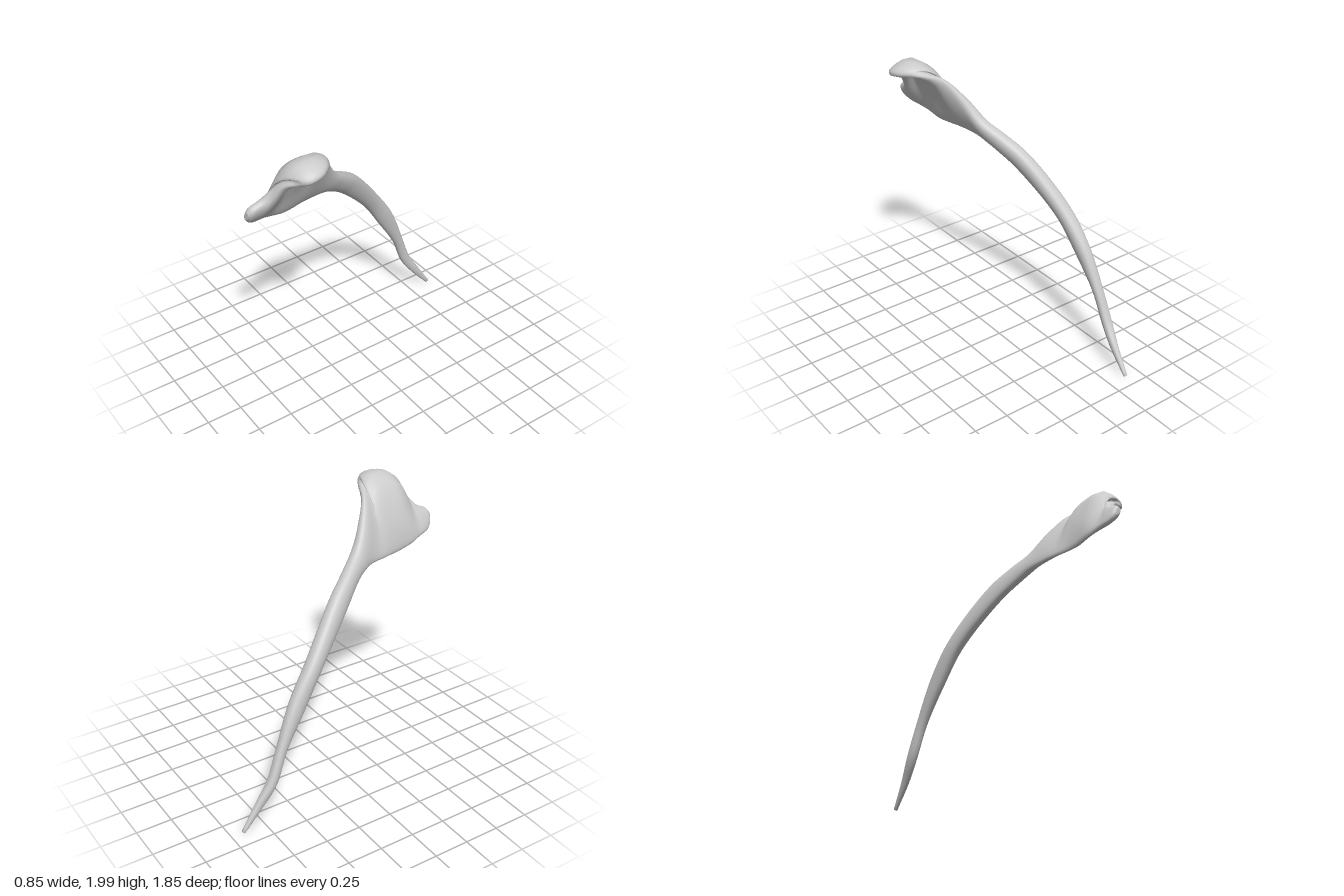
import * as THREE from 'three';

// Shaft stations from the tip upward: centre x, y, z, half width, half thickness
const SHAFT = [
  [-0.385, 0.012, -0.915, 0.013, 0.013],
  [-0.385, 0.18, -0.79, 0.03, 0.026],
  [-0.392, 0.325, -0.695, 0.036, 0.036],
  [-0.376, 0.545, -0.605, 0.037, 0.038],
  [-0.345, 0.81, -0.465, 0.062, 0.05],
  [-0.302, 1.045, -0.305, 0.062, 0.056],
  [-0.17, 1.35, -0.03, 0.075, 0.056],
  [-0.09, 1.463, 0.11, 0.07, 0.053],
];
// Blade sections: half thickness, then spine points from lower edge to upper edge
const BLADE = [
  [0.05, [-0.06, 1.455, 0.23], [-0.005, 1.61, 0.19]],
  [0.044, [-0.025, 1.48, 0.32], [0.075, 1.765, 0.3]],
  [0.038, [0, 1.485, 0.45], [0.18, 1.89, 0.39]],
  // three sections curl over into the hook
  [0.046, [0.025, 1.485, 0.55], [0.105, 1.72, 0.5], [0.22, 1.905, 0.475], [0.35, 1.935, 0.465]],
  [0.052, [0.04, 1.49, 0.63], [0.115, 1.72, 0.59], [0.26, 1.94, 0.56], [0.42, 1.92, 0.555]],
  [0.05, [0.05, 1.51, 0.72], [0.12, 1.7, 0.68], [0.24, 1.91, 0.66], [0.415, 1.9, 0.655]],
  // rounded front corner
  [0.044, [0.07, 1.535, 0.8], [0.255, 1.85, 0.735]],
  [0.04, [0.09, 1.55, 0.87], [0.185, 1.73, 0.82]],
  [0.034, [0.11, 1.575, 0.905], [0.17, 1.69, 0.9]],
  [0.018, [0.13, 1.605, 0.925], [0.158, 1.66, 0.925]],
];
const ROWS = 110;
const SIDES = 32;

// A straight section is split evenly so that every spine has four points
function fourPoints(points) {
  if (points.length === 4) return points;
  return [0, 1, 2, 3].map((k) => points[0].clone().lerp(points[1], k / 3));
}

function createSections() {
  const centre = new THREE.CatmullRomCurve3(SHAFT.map(([x, y, z]) => new THREE.Vector3(x, y, z)));
  const shaft = SHAFT.map(([x, y, z, width, thickness], i) => {
    // the shaft's width lies across its direction in the side plane
    const d = centre.getTangent(i / (SHAFT.length - 1));
    const across = new THREE.Vector3(0, d.z, -d.y).setLength(width);
    const p = new THREE.Vector3(x, y, z);
    return { thickness, points: fourPoints([p.clone().sub(across), p.clone().add(across)]) };
  });
  const blade = BLADE.map(([thickness, ...points]) => (
    { thickness, points: fourPoints(points.map((p) => new THREE.Vector3(...p))) }));
  return [...shaft, ...blade];
}

function createBone() {
  const sections = createSections();
  // Rails run lengthwise through matching spine points
  const rails = [0, 1, 2, 3].map((k) => new THREE.CatmullRomCurve3(sections.map((s) => s.points[k])));
  const thickness = new THREE.CatmullRomCurve3(
    sections.map((s, i) => new THREE.Vector3(i * 0.1, s.thickness, 0)));
  const spineAt = (u) => new THREE.CatmullRomCurve3(
    rails.map((r) => r.getPoint(THREE.MathUtils.clamp(u, 0, 1))));

  const positions = [], index = [];
  for (let i = 0; i <= ROWS; i++) {
    const u = i / ROWS;
    const spine = spineAt(u), before = spineAt(u - 0.004), after = spineAt(u + 0.004);
    const t = thickness.getPoint(u).y;
    // each ring goes up one face of the spine and down the other
    for (let j = 0; j < SIDES; j++) {
      const a = (j / SIDES) * Math.PI * 2;
      const s = (1 - Math.cos(a)) / 2;
      const along = after.getPoint(s).sub(before.getPoint(s));
      const normal = spine.getTangent(s).cross(along).normalize();
      const bulge = Math.sign(Math.sin(a)) * Math.abs(Math.sin(a)) ** 0.8;
      const p = spine.getPoint(s).addScaledVector(normal, t * (0.8 + 0.25 * s) * bulge);
      positions.push(p.x, p.y, p.z);
    }
  }
  for (let i = 0; i < ROWS; i++) {
    for (let j = 0; j < SIDES; j++) {
      const a = i * SIDES + j, b = i * SIDES + ((j + 1) % SIDES);
      index.push(a, b, a + SIDES, b, b + SIDES, a + SIDES);
    }
  }
  // Close both ends
  const top = ROWS * SIDES;
  for (let j = 1; j < SIDES - 1; j++) {
    index.push(0, j + 1, j, top, top + j, top + j + 1);
  }

  const geometry = new THREE.BufferGeometry();
  geometry.setAttribute('position', new THREE.Float32BufferAttribute(positions, 3));
  geometry.setIndex(index);
  geometry.computeVertexNormals();
  return geometry;
}

export function createModel() {
  const group = new THREE.Group();
  group.name = 'curvedBone';
  const bone = new THREE.Mesh(createBone(), new THREE.MeshStandardMaterial({ color: 0xcccccc }));
  bone.name = 'shaftAndHookedBlade';
  group.add(bone);
  return group;
}
